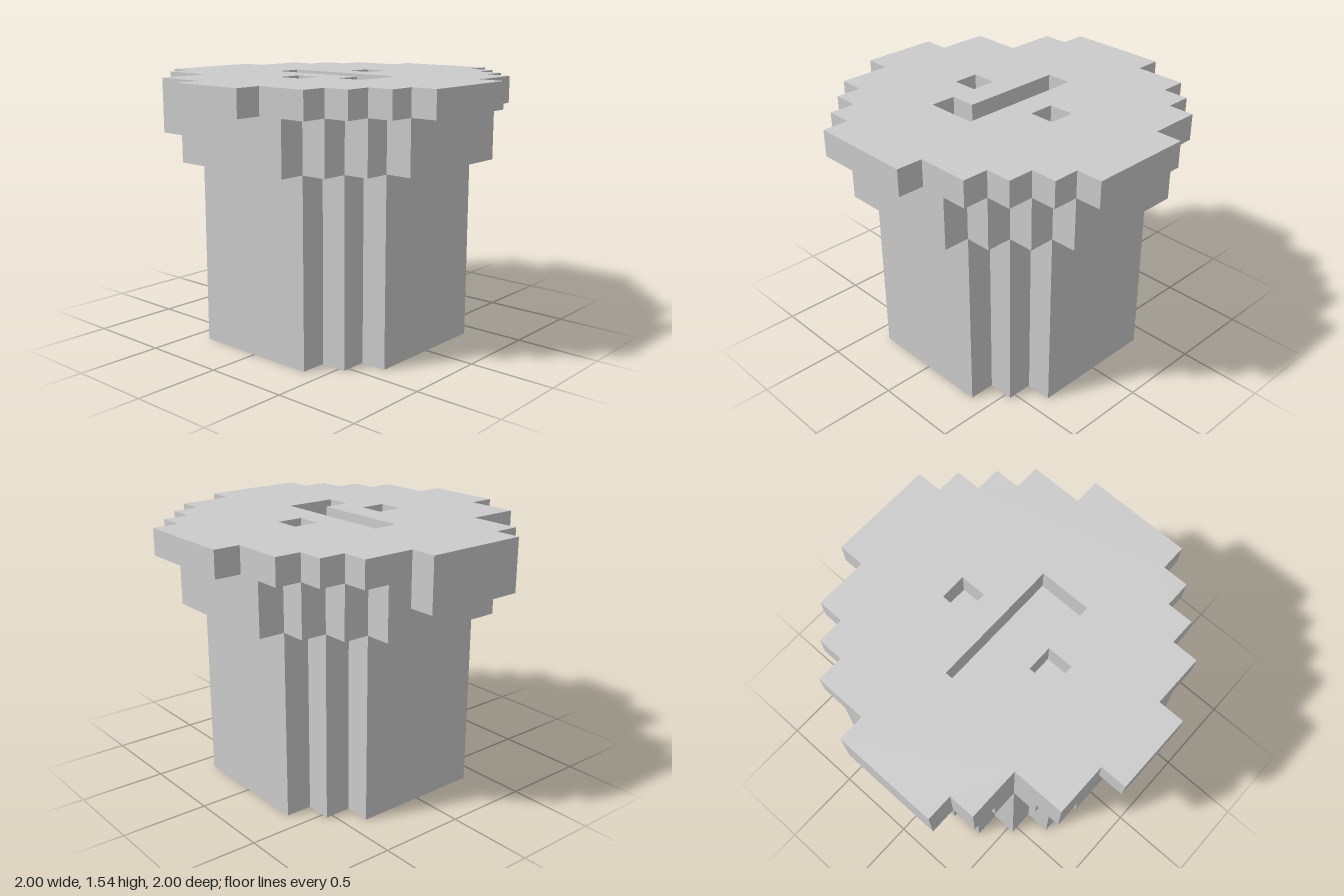
import * as THREE from 'three';

const U = 2 / 13; // edge of one block
const material = new THREE.MeshStandardMaterial({ color: 0xcccccc, flatShading: true });

// Stepped outline in block units; each row is [zStart, zEnd, xMin, xMax]
function steppedShape(rows) {
  const right = rows.flatMap(([z0, z1, , x]) => [[x, z0], [x, z1]]);
  const left = rows.flatMap(([z0, z1, x]) => [[x, z0], [x, z1]]).reverse();
  return new THREE.Shape(toPoints([...right, ...left]));
}

function toPoints(list) {
  return list.map(([x, z]) => new THREE.Vector2(x * U, z * U));
}

function square(x, z) {
  return [[x - 0.5, z - 0.5], [x + 0.5, z - 0.5], [x + 0.5, z + 0.5], [x - 0.5, z + 0.5]];
}

// Flat slab between two heights, with optional holes
function slab(name, rows, y0, y1, holes = []) {
  const shape = steppedShape(rows);
  holes.forEach((h) => shape.holes.push(new THREE.Path(toPoints(h))));
  const geometry = new THREE.ExtrudeGeometry(shape, { depth: (y1 - y0) * U, bevelEnabled: false });
  geometry.rotateX(Math.PI / 2);
  const mesh = new THREE.Mesh(geometry, material);
  mesh.name = name;
  mesh.position.y = y1 * U;
  return mesh;
}

// Symmetric blocky disc with stepped corners
function disc(r) {
  const rows = [];
  for (let z = -r; z < -2.5; z++) rows.push([z, z + 1, -(2.5 + z + r), 2.5 + z + r]);
  rows.push([-2.5, 2.5, -r, r]);
  for (let z = 2.5; z < r; z++) rows.push([z, z + 1, -(r + 1.5 - z), r + 1.5 - z]);
  // each step widens by one block towards the middle
  return rows.map(([a, b, l, rt]) => [a, b, Math.max(l, -r), Math.min(rt, r)]);
}

export function createModel() {
  const group = new THREE.Group();
  group.name = 'blockyPedestal';

  // Shaft with a small socket underneath
  group.add(slab('shaftBase', disc(4.5), 0, 1, [square(0, 0)]));
  group.add(slab('shaft', disc(4.5), 1, 7));

  // Wider collar below the top
  group.add(slab('collar', disc(5.5), 7, 9));

  // Irregular top plate with shallow recesses
  const topRows = [
    [-6.5, -5.5, -1.5, 2.5],
    [-5.5, -4.5, -3.5, 3.5],
    [-4.5, -3.5, -4.5, 4.5],
    [-3.5, -1.5, -5.5, 5.5],
    [-1.5, 2.5, -6.5, 6.5],
    [2.5, 3.5, -5.5, 5.5],
    [3.5, 4.5, -3.5, 4.5],
    [4.5, 5.5, -3.5, 3.5],
    [5.5, 6.5, -1.5, 1.5],
  ];
  const hookedSlot = [[-2.5, -0.5], [2.5, -0.5], [2.5, 1.5], [1.5, 1.5], [1.5, 0.5], [-2.5, 0.5]];
  group.add(slab('topPlate', topRows, 9, 10, [square(0, -2), square(0, 2), hookedSlot]));

  // Drips hanging one block lower along one side of the plate
  const drips = [
    [-1.5, 2.5, -6.5, -5.5],
    [2.5, 3.5, -5.5, -4.5],
    [4.5, 5.5, -3.5, -2.5],
  ];
  drips.forEach((row) => group.add(slab('drip', [row], 8, 9)));

  return group;
}
